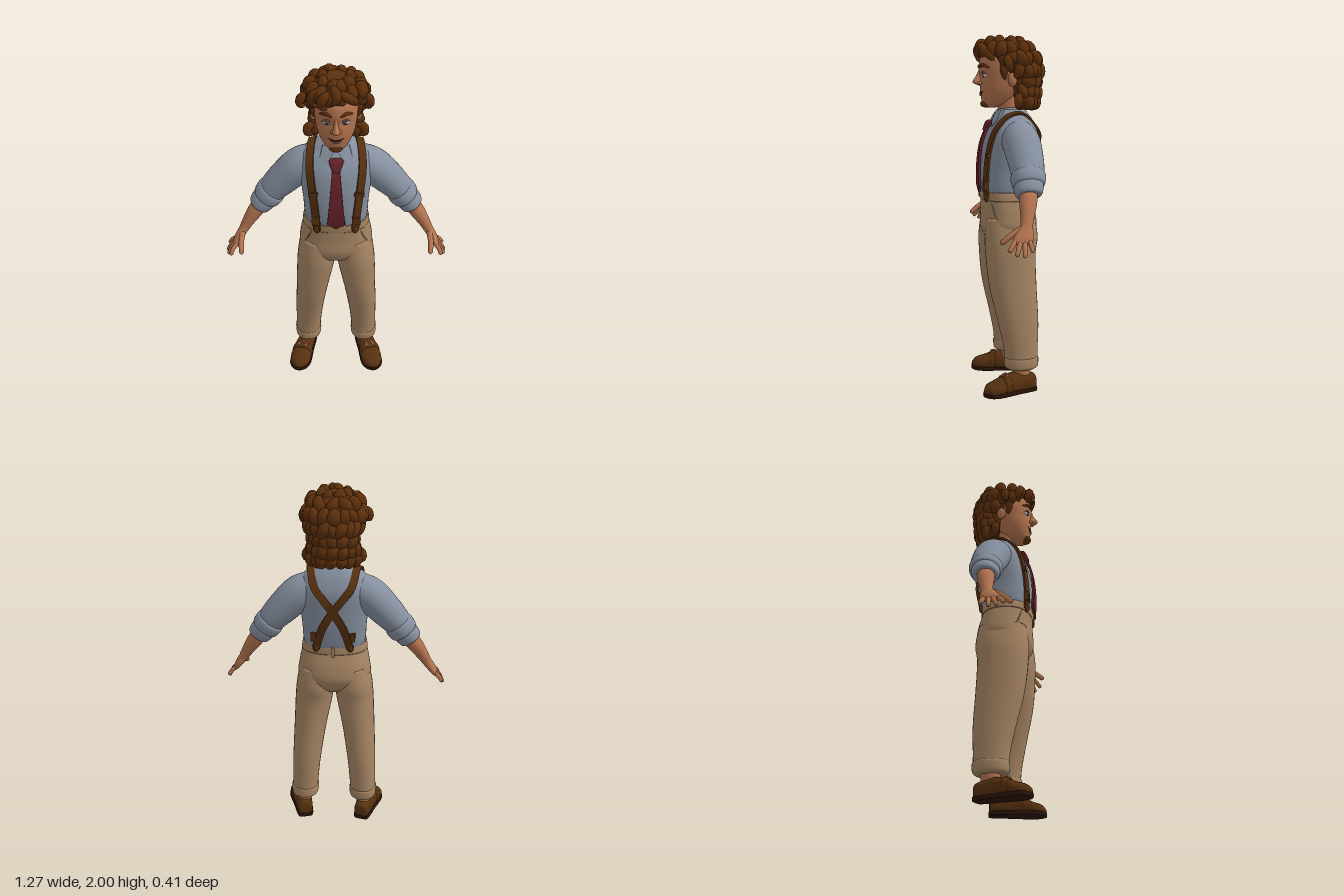
import * as THREE from 'three';
import { mergeGeometries, mergeVertices, toCreasedNormals } from 'three/addons/utils/BufferGeometryUtils.js';

const V = (x, y, z) => new THREE.Vector3(x, y, z);
const mat = (name, color) => Object.assign(new THREE.MeshStandardMaterial({ color }), { name });

// Closed surface through rings of points, capped at both ends
function skin(rings) {
  const n = rings[0].length, pos = [], idx = [];
  rings.forEach(r => r.forEach(p => pos.push(p.x, p.y, p.z)));
  for (let i = 0; i < rings.length - 1; i++) for (let j = 0; j < n; j++) {
    const k = (j + 1) % n, a = i * n + j, c = i * n + k;
    idx.push(a, a + n, c, a + n, c + n, c);
  }
  [0, rings.length - 1].forEach(i => {
    const m = rings[i].reduce((s, p) => s.add(p), V(0, 0, 0)).divideScalar(n), c = pos.length / 3;
    pos.push(m.x, m.y, m.z);
    for (let j = 0; j < n; j++) {
      const a = i * n + j, b = i * n + (j + 1) % n;
      idx.push(c, ...(i ? [b, a] : [a, b]));
    }
  });
  const g = new THREE.BufferGeometry();
  g.setAttribute('position', new THREE.Float32BufferAttribute(pos, 3));
  g.setIndex(idx);
  g.computeVertexNormals();
  return g;
}

// Rounded body along stations [x, y, z, half width, half depth]
function sweep(st, { s = 1, e = 2, seg = 32, steps = 6, fn } = {}) {
  const path = new THREE.CatmullRomCurve3(st.map(p => V(p[0] * s, p[1], p[2])), false, 'catmullrom');
  const size = new THREE.CatmullRomCurve3(st.map(p => V(p[3], p[4], 0)), false, 'catmullrom');
  const N = (st.length - 1) * steps, rings = [];
  const pw = c => Math.sign(c) * Math.abs(c) ** (2 / e);
  for (let i = 0; i <= N; i++) {
    const c = path.getPoint(i / N), r = size.getPoint(i / N), t = path.getTangent(i / N).setZ(0).normalize();
    rings.push(Array.from({ length: seg }, (_, j) => {
      const a = j / seg * Math.PI * 2, u = pw(Math.cos(a)) * Math.max(r.x, 0.001);
      const p = V(c.x + t.y * u, c.y - t.x * u, c.z + pw(Math.sin(a)) * Math.max(r.y, 0.001));
      if (fn) fn(p);
      return p;
    }));
  }
  return skin(rings);
}

// Flat band lying on the body; w gives the half width along it
function ribbon(pts, w, th = 0.006, steps = 40) {
  const path = new THREE.CatmullRomCurve3(pts), rings = [];
  for (let i = 0; i <= steps; i++) {
    const p = path.getPoint(i / steps), t = path.getTangent(i / steps);
    const n = p.clone().sub(V(p.x * 0.6, 1.35, -0.01));
    n.addScaledVector(t, -n.dot(t)).normalize();
    const b = t.clone().cross(n), h = w(i / steps);
    rings.push([[1, 1], [-1, 1], [-1, -1], [1, -1]].map(([x, y]) =>
      p.clone().addScaledVector(b, x * h).addScaledVector(n, y * th)));
  }
  return toCreasedNormals(skin(rings), 0.6);
}

// Tapered round strand
function lock(pts, r, prof = t => Math.sin(Math.PI * t) ** 0.55) {
  const path = new THREE.CatmullRomCurve3(pts), N = 12, R = 10;
  const g = new THREE.TubeGeometry(path, N, 1, R), a = g.attributes.position, p = V(0, 0, 0);
  for (let i = 0; i < a.count; i++) {
    const t = Math.floor(i / (R + 1)) / N, c = path.getPointAt(t);
    p.fromBufferAttribute(a, i).sub(c).multiplyScalar(Math.max(r * prof(t), 0.0005)).add(c);
    a.setXYZ(i, p.x, p.y, p.z);
  }
  g.deleteAttribute('uv'); g.deleteAttribute('normal');
  const m = mergeVertices(g, 1e-6);
  m.computeVertexNormals();
  return m;
}
const finger = (pts, r) => lock(pts, r, t => t > 0.85 ? Math.sqrt(Math.max(0, 1 - ((t - 0.85) / 0.15) ** 2)) : 1.1 - 0.2 * t);
const ball = (x, y, z, a, b, c) => new THREE.SphereGeometry(1, 24, 16).scale(a, b, c).translate(x, y, z);

// Point where a ray meets the given meshes, lifted off the surface
const ray = new THREE.Raycaster();
function hit(meshes, from, dir, lift) {
  ray.set(from, dir);
  const h = ray.intersectObjects(meshes)[0];
  return h && h.point.addScaledVector(dir, -lift);
}

export function createModel() {
  const root = new THREE.Group();
  const M = {
    skin: mat('skin', 0xb3734f), shirt: mat('shirt grey blue', 0x858f9e), pants: mat('trouser tan', 0xa58463),
    hair: mat('hair brown', 0x5e300c), leather: mat('leather brown', 0x56300f), tie: mat('tie red', 0x642127),
    white: mat('eye white', 0xcfc8c2), iris: mat('iris blue grey', 0x5f7486), dark: mat('dark brown', 0x2a1408), lip: mat('lip', 0x8e5040),
  };
  const add = (name, g, m) => {
    const o = new THREE.Mesh(g, m);
    o.name = name;
    root.add(o);
    return o;
  };

  // Shirt body
  const torso = add('shirtBody', sweep([[0, 1.1, .01, .165, .135], [0, 1.16, .007, .177, .147], [0, 1.25, .002, .182, .155], [0, 1.35, -.005, .193, .155],
    [0, 1.45, -.018, .2, .146], [0, 1.52, -.025, .178, .118], [0, 1.565, -.03, .13, .088], [0, 1.595, -.025, .075, .07]], { e: 2.5, seg: 64 }), M.shirt);
  // Trousers: hips, waistband, fly and back loops
  const hips = add('trouserHips', sweep([[0, .84, 0, .1, .09], [0, .88, 0, .17, .135], [0, .94, -.003, .208, .158], [0, 1.02, 0, .2, .152],
    [0, 1.09, .01, .185, .142], [0, 1.135, .012, .174, .14]], { e: 2.3, seg: 64 }), M.pants);
  add('waistband', sweep([[0, 1.09, .01, .183, .14], [0, 1.095, .01, .188, .146], [0, 1.135, .012, .181, .146], [0, 1.14, .012, .174, .14]], { e: 2.3, seg: 64, steps: 3 }), M.pants);
  add('backLoop', new THREE.BoxGeometry(.018, .06, .012).translate(0, 1.11, -.138), M.pants);
  add('neck', sweep([[0, 1.53, -.02, .06, .06], [0, 1.6, -.005, .055, .06], [0, 1.69, .01, .06, .07]]), M.skin);
  add('collarBand', sweep([[0, 1.55, -.02, .098, .088], [0, 1.58, -.018, .082, .08], [0, 1.605, -.015, .066, .07], [0, 1.6, -.015, .058, .062]],
    { fn: p => { p.y -= Math.max(0, p.z) * 0.25; } }), M.shirt);

  const arms = [];
  for (const s of [1, -1]) {
    const side = s > 0 ? 'left' : 'right', opt = { s };
    // Sleeve with two rolled folds
    arms.push(add(side + 'Sleeve', sweep([[.11, 1.465, -.035, .085, .09], [.195, 1.42, -.038, .098, .105], [.28, 1.34, -.042, .092, .099],
      [.345, 1.272, -.042, .08, .09], [.39, 1.215, -.038, .068, .076]], opt), M.shirt));
    add(side + 'UpperCuff', sweep([[.345, 1.268, -.042, .068, .075], [.36, 1.25, -.041, .083, .094], [.39, 1.213, -.038, .079, .089], [.4, 1.2, -.036, .062, .07]], opt), M.shirt);
    add(side + 'LowerCuff', sweep([[.39, 1.213, -.037, .062, .07], [.403, 1.198, -.035, .07, .08], [.43, 1.165, -.03, .064, .072], [.436, 1.157, -.029, .05, .055]], opt), M.shirt);
    // Forearm, palm and fingers
    add(side + 'Forearm', sweep([[.41, 1.185, -.03, .045, .05], [.46, 1.12, -.02, .043, .047], [.5, 1.06, -.008, .034, .037], [.53, 1.01, .004, .027, .033],
      [.55, .98, .017, .024, .046], [.57, .95, .029, .02, .054], [.582, .928, .034, .012, .046]], opt), M.skin);
    const digits = [[.57, .945, .068, .603, .895, .11], [.577, .94, .045, .622, .874, .074], [.577, .94, .022, .63, .868, .033], [.572, .945, -.002, .622, .892, -.012]];
    digits.forEach(([x, y, z, X, Y, Z], i) => add(side + 'Finger' + (i + 1),
      finger([V(s * x, y, z), V(s * ((x + X) / 2 + .004), (y + Y) / 2 + .004, (z + Z) / 2), V(s * X, Y, Z)], .0125), M.skin));
    add(side + 'Thumb', finger([V(s * .535, 1.0, .03), V(s * .54, .97, .085), V(s * .535, .925, .14)], .0155), M.skin);

    // Trouser leg, turn-up and slanted pocket
    add(side + 'TrouserLeg', sweep([[.1, .99, 0, .095, .138], [.11, .88, 0, .108, .15], [.121, .78, .006, .108, .142], [.143, .6, -.004, .095, .134],
      [.163, .4, -.03, .084, .115], [.172, .26, -.042, .078, .098], [.176, .17, -.045, .075, .093]], { s, e: 2.2 }), M.pants);
    add(side + 'TurnUp', sweep([[.176, .205, -.045, .072, .09], [.176, .195, -.045, .08, .098], [.176, .15, -.045, .079, .096], [.176, .135, -.045, .066, .08]], { s, e: 2.2, steps: 4 }), M.pants);
    const pocket = [[.135, 1.085], [.152, 1.04], [.175, .99]].map(([x, y]) => hit([hips], V(s * x, y, 1), V(0, 0, -1), .001)).filter(Boolean);
    add(side + 'Pocket', lock(pocket, .004), M.pants);

    // Loafer with sole, band and buckle
    add(side + 'Ankle', sweep([[.176, .2, -.045, .05, .06], [.18, .13, -.045, .042, .052], [.182, .07, -.04, .042, .055]], opt), M.skin);
    const last = [[0, -.13, -.05, .015, .02], [0, -.12, -.05, .042, .045], [0, -.06, -.052, .05, .06], [0, -.01, -.055, .053, .062], [0, .05, -.052, .06, .053],
      [0, .11, -.038, .064, .042], [0, .155, -.032, .05, .034], [0, .182, -.026, .015, .016]];
    const place = g => g.rotateX(Math.PI / 2).rotateY(s * .25).translate(s * .2, 0, 0);
    add(side + 'Shoe', place(sweep(last, { e: 2.3, fn: p => { p.z = Math.min(p.z, -.012); } })), M.leather);
    add(side + 'Sole', place(sweep(last.map(([x, y, z, a, b]) => [x, y * 1.02, -.012, a * 1.06, .03]),
      { e: 2.3, fn: p => { p.z = THREE.MathUtils.clamp(p.z, -.022, 0); } })), M.dark);
    add(side + 'ShoeBand', place(sweep([[0, .035, -.053, .05, .05], [0, .04, -.053, .062, .059], [0, .07, -.049, .065, .054], [0, .075, -.048, .05, .04]],
      { e: 2.3, steps: 3, fn: p => { p.z = Math.min(p.z, -.015); } })), M.leather);
    add(side + 'ShoeBuckle', new THREE.TorusGeometry(.014, .004, 8, 16).rotateX(-1.3).scale(1.6, 1, 1).translate(0, .108, .055).rotateY(s * .25).translate(s * .2, 0, 0), M.skin);
  }

  // Braces: up the front, over the shoulder and crossed behind
  const body = [torso, hips, ...arms];
  for (const s of [1, -1]) {
    const side = s > 0 ? 'left' : 'right', lift = s > 0 ? .007 : .012;
    const front = [[.105, 1.105], [.112, 1.2], [.124, 1.32], [.136, 1.43], [.141, 1.5]].map(([x, y]) => hit(body, V(s * x, y, 1), V(0, 0, -1), .008));
    const top = [[.135, .02], [.125, -.06]].map(([x, z]) => hit(body, V(s * x, 3, z), V(0, -1, 0), .008));
    const back = [[.1, 1.49], [.055, 1.43], [0, 1.355], [-.055, 1.26], [-.095, 1.13]].map(([x, y]) => hit(body, V(s * x, y, -1), V(0, 0, 1), lift));
    add(side + 'Brace', ribbon([...front, ...top, ...back].filter(Boolean), () => .021, .006, 80), M.leather);
    [front[0], back[4]].forEach((p, i) => {
      add(side + (i ? 'BackTab' : 'FrontTab'), ball(p.x, p.y + .005, p.z, .02, .026, .012), M.leather);
      add(side + (i ? 'BackClasp' : 'FrontClasp'), new THREE.BoxGeometry(.046, .05, .02).translate(p.x * 1.05, p.y + .07, p.z + (i ? -.006 : .008)), M.leather);
    });
    add(side + 'Slider', new THREE.BoxGeometry(.054, .02, .018).translate(front[2].x, 1.345, front[2].z), M.leather);
    // Pointed collar flap
    const flap = [[.008, 1.575], [.05, 1.6], [.072, 1.59], [.088, 1.53], [.066, 1.5], [.03, 1.54]];
    const shape = new THREE.Shape(flap.map(([x, y]) => new THREE.Vector2(s * x, y)));
    const g = new THREE.ExtrudeGeometry(shape, { depth: .014, bevelEnabled: false }), a = g.attributes.position;
    for (let i = 0; i < a.count; i++) a.setZ(i, a.getZ(i) + .05 + (1.6 - a.getY(i)) * .62 - Math.abs(a.getX(i)) * .3);
    g.computeVertexNormals();
    add(side + 'CollarFlap', g, M.shirt);
  }
  // Tie blade and knot
  const blade = [1.51, 1.42, 1.33, 1.24, 1.17, 1.13].map(y => hit([torso], V(0, y, 1), V(0, 0, -1), .012));
  add('tieBlade', ribbon(blade, t => t < .82 ? .02 + .036 * t : .0495 * (1 - t) / .18 + .001, .007, 50), M.tie);
  add('tieKnot', sweep([[0, 1.475, .125, .016, .012], [0, 1.485, .124, .021, .018], [0, 1.525, .106, .038, .02], [0, 1.537, .096, .03, .014]], { e: 3, steps: 4 }), M.tie);

  // Head with eye sockets
  const head = add('head', sweep([[0, 1.606, .09, .02, .025], [0, 1.62, .082, .05, .058], [0, 1.65, .062, .076, .086], [0, 1.7, .045, .098, .11], [0, 1.76, .032, .109, .126],
    [0, 1.82, .025, .114, .137], [0, 1.88, .015, .11, .137], [0, 1.93, 0, .085, .105], [0, 1.96, 0, .03, .04]], {
    seg: 64, fn: p => { if (p.z > .05) p.z -= .013 * Math.exp(-(((Math.abs(p.x) - .045) / .024) ** 2) - ((p.y - 1.783) / .02) ** 2); },
  }), M.skin);
  add('nose', sweep([[0, 1.728, .15, .008, .014], [0, 1.738, .164, .02, .027], [0, 1.752, .168, .018, .029], [0, 1.778, .158, .011, .022], [0, 1.81, .15, .009, .014]]), M.skin);
  const onFace = (x, y, l = .001) => hit([head], V(x, y, 1), V(0, 0, -1), l);
  add('mouth', lock([onFace(-.042, 1.697), onFace(-.02, 1.687), onFace(0, 1.685), onFace(.02, 1.687), onFace(.042, 1.697)], .004), M.dark);
  add('lowerLip', lock([onFace(-.026, 1.682), onFace(0, 1.675), onFace(.026, 1.682)], .007), M.lip);
  add('goatee', ball(0, 1.626, .12, .038, .022, .035), M.hair);
  for (const s of [1, -1]) {
    const side = s > 0 ? 'left' : 'right';
    add(side + 'Nostril', ball(s * .018, 1.74, .158, .011, .01, .014), M.skin);
    add(side + 'Eye', ball(s * .046, 1.783, .126, .025, .016, .021), M.white);
    add(side + 'Iris', ball(s * .045, 1.783, .143, .0125, .0125, .006), M.iris);
    add(side + 'Pupil', ball(s * .045, 1.783, .147, .006, .006, .003), M.dark);
    add(side + 'Lid', lock([V(s * .02, 1.784, .141), V(s * .045, 1.8, .148), V(s * .073, 1.786, .132)], .005), M.lip);
    add(side + 'Brow', lock([onFace(s * .02, 1.823, .003), onFace(s * .05, 1.838, .003), onFace(s * .086, 1.822, .003)], .009), M.hair);
    add(side + 'Ear', ball(s * .12, 1.757, -.005, .015, .038, .026).rotateY(0), M.skin);
  }

  // Hair: inner mass, then overlapping wavy locks in rows [y, width, depth, z, count, reach from the back]
  let seed = 7;
  const rnd = () => (seed = (seed * 16807) % 2147483647) / 2147483647;
  add('hairMass', sweep([[0, 1.62, -.09, .09, .05], [0, 1.68, -.085, .11, .075], [0, 1.76, -.062, .122, .108], [0, 1.84, -.04, .138, .135],
    [0, 1.9, -.008, .135, .14], [0, 1.95, 0, .105, .12], [0, 1.98, 0, .04, .05]]), M.hair);
  const rows = [[1.64, .115, .075, -.072, 9, 1.75], [1.69, .112, .085, -.077, 9, 1.7], [1.75, .112, .11, -.055, 9, 1.3], [1.81, .132, .125, -.045, 11, 1.6],
    [1.87, .142, .138, -.025, 13, 2.15], [1.92, .125, .128, .005, 13, 3.0], [1.955, .07, .085, .01, 8, 3.0]];
  const locks = [];
  for (const [y, rx, rz, zc, n, reach] of rows) for (let i = 0; i < n; i++) {
    const a = (i / (n - 1) * 2 - 1) * reach + (rnd() - .5) * .15, sw = (rnd() - .5) * .7, h = .05 + rnd() * .012, j = .96 + rnd() * .1;
    const at = (b, k, dy) => V(Math.sin(b) * rx * k * j, y + dy, zc - Math.cos(b) * rz * k * j);
    locks.push(lock([at(a - sw, .8, h * .7), at(a - sw * .3, 1, h * .3), at(a + sw * .3, 1.02, -h * .35), at(a + sw, .85, -h * .8)], .03 + rnd() * .008));
  }
  // Fringe curls, side tufts and sideburns
  const curls = [
    [[-.02, 1.95, .13], [-.06, 1.93, .16], [-.075, 1.885, .15], [-.045, 1.862, .152]], [[-.06, 1.95, .1], [-.115, 1.92, .11], [-.12, 1.87, .09], [-.09, 1.85, .105]],
    [[.0, 1.95, .13], [.04, 1.94, .155], [.085, 1.9, .13], [.1, 1.86, .09]], [[-.03, 1.96, .1], [0, 1.955, .155], [.0, 1.915, .16], [-.03, 1.89, .155]],
    [[-.13, 1.87, .03], [-.17, 1.87, .03], [-.185, 1.835, .03], [-.16, 1.815, .04]], [[.13, 1.88, .02], [.165, 1.865, .03], [.17, 1.82, .02], [.145, 1.8, .01]],
    [[-.1, 1.67, -.04], [-.145, 1.66, -.035], [-.15, 1.625, -.035], [-.11, 1.615, -.04]], [[.1, 1.67, -.04], [.145, 1.66, -.035], [.15, 1.625, -.035], [.11, 1.615, -.04]],
  ];
  curls.forEach(c => locks.push(lock(c.map(p => V(...p)), .025)));
  for (const s of [1, -1]) locks.push(lock([V(s * .115, 1.87, .05), V(s * .118, 1.82, .045), V(s * .108, 1.755, .035)], .02));
  add('hairLocks', mergeGeometries(locks), M.hair);

  return root;
}
